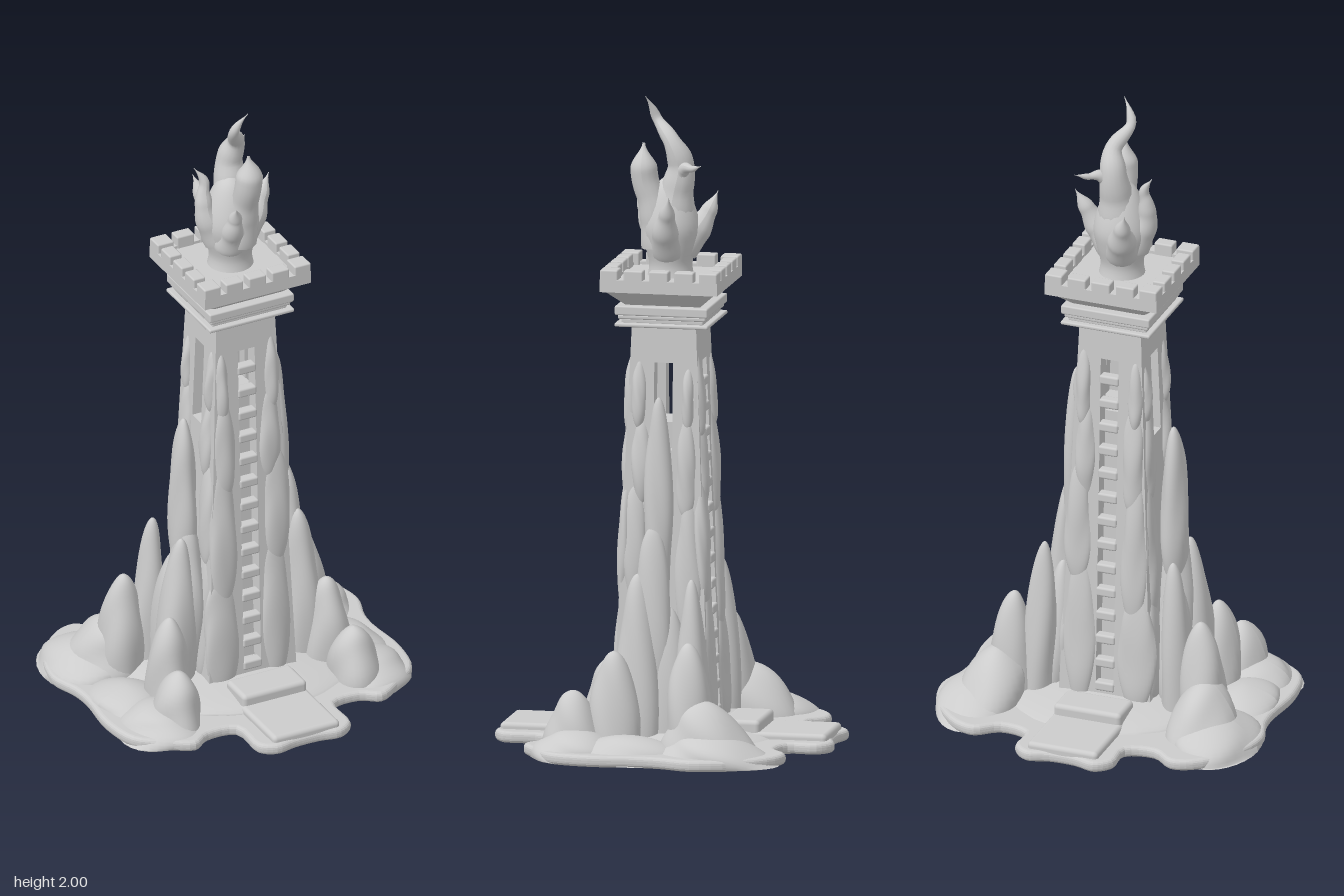
import * as THREE from 'three';
import { RoundedBoxGeometry } from 'three/addons/geometries/RoundedBoxGeometry.js';

const material = new THREE.MeshStandardMaterial({ color: 0xcccccc });
const V = (x, y, z) => new THREE.Vector3(x, y, z);

// Half width of the tapering shaft at height y
const half = (y) => 0.152 - 0.052 * (y / 1.31);

function add(parent, name, geometry, x = 0, y = 0, z = 0) {
  const mesh = new THREE.Mesh(geometry, material);
  mesh.name = name;
  mesh.position.set(x, y, z);
  parent.add(mesh);
  return mesh;
}

// Softly lumpy ellipsoid from y0 to y1, narrowing and leaning upwards, cut flat at the ground
function rock(parent, name, x, z, rx, rz, y0, y1, leanX = 0, leanZ = 0) {
  const g = new THREE.SphereGeometry(1, 32, 28);
  const p = g.attributes.position;
  const seed = x * 31 + z * 17 + y1 * 7;
  for (let i = 0; i < p.count; i++) {
    const a = V().fromBufferAttribute(p, i);
    const t = (a.y + 1) / 2;
    const lump = 1 + 0.07 * Math.sin(a.x * 3.1 + a.y * 2 + seed) + 0.06 * Math.sin(a.z * 4 - a.y * 5 + seed * 2);
    const r = lump * (1.08 - 0.22 * t);
    p.setXYZ(i, x + a.x * rx * r + leanX * t, Math.max(0.003, y0 + (y1 - y0) * t), z + a.z * rz * r + leanZ * t);
  }
  g.computeVertexNormals();
  return add(parent, name, g);
}

// Slab with a rounded rim, from half an outline (x >= 0, running back to front)
function slab(parent, name, points, y0, y1, bevel, smooth) {
  const all = [...points, ...points.slice().reverse().map(([x, z]) => [-x, z])];
  let pts = all.map(([x, z]) => V(x, z, 0));
  if (smooth) pts = new THREE.CatmullRomCurve3(pts, true, 'centripetal').getPoints(160).slice(0, -1);
  const shape = new THREE.Shape(pts.map((q) => new THREE.Vector2(q.x, q.y)));
  const g = new THREE.ExtrudeGeometry(shape, {
    depth: y1 - y0 - 2 * bevel, bevelThickness: bevel, bevelSize: bevel, bevelOffset: -bevel, bevelSegments: 4,
  });
  g.rotateX(Math.PI / 2);
  return add(parent, name, g, 0, y1 - bevel, 0);
}

// Shaft wall with one tall slot, sloping inwards with the taper
function wall(parent, name, slotBottom, angle) {
  const top = 1.31, w = 0.029;
  const rect = (x, y0, y1, xt, Type) => new Type([[-x, y0], [x, y0], [xt, y1], [-xt, y1]].map((q) => new THREE.Vector2(...q)));
  const shape = rect(half(0), 0, top, half(top), THREE.Shape);
  shape.holes.push(rect(w, slotBottom, 1.19, w, THREE.Path));
  const g = new THREE.ExtrudeGeometry(shape, { depth: 0.045, bevelEnabled: false });
  const p = g.attributes.position;
  for (let i = 0; i < p.count; i++) {
    // mitre the inner corners so neighbouring walls meet
    const inset = 0.045 - p.getZ(i), x = p.getX(i), y = p.getY(i);
    if (Math.abs(x) > w + 0.01) p.setX(i, x - Math.sign(x) * inset);
    p.setZ(i, half(y) - inset);
  }
  g.computeVertexNormals();
  add(parent, name, g).rotation.y = angle;
}

// Curved tongue of fire: a tube whose radius follows a list
function tongue(parent, name, points, radii) {
  const curve = new THREE.CatmullRomCurve3(points.map((q) => V(...q)));
  const rows = 36, sides = 16;
  const g = new THREE.TubeGeometry(curve, rows, 1, sides, false);
  const p = g.attributes.position;
  for (let i = 0; i <= rows; i++) {
    const c = curve.getPointAt(i / rows);
    const s = (i / rows) * (radii.length - 1), k = Math.min(Math.floor(s), radii.length - 2);
    const r = THREE.MathUtils.lerp(radii[k], radii[k + 1], THREE.MathUtils.smoothstep(s - k, 0, 1));
    for (let j = 0; j <= sides; j++) {
      const n = i * (sides + 1) + j;
      const v = V().fromBufferAttribute(p, n).sub(c).multiplyScalar(r).add(c);
      p.setXYZ(n, v.x, v.y, v.z);
    }
  }
  g.computeVertexNormals();
  add(parent, name, g);
}

function buildBase(parent) {
  const base = new THREE.Group();
  base.name = 'rockyBase';
  parent.add(base);
  slab(base, 'groundSkirt', [
    [0.04, -0.515], [0.11, -0.532], [0.16, -0.49], [0.165, -0.4], [0.25, -0.38], [0.32, -0.428], [0.39, -0.41],
    [0.49, -0.3], [0.527, -0.17], [0.5, -0.07], [0.495, 0], [0.508, 0.15], [0.48, 0.28], [0.4, 0.345],
    [0.32, 0.39], [0.26, 0.355], [0.17, 0.365], [0.16, 0.49], [0.11, 0.525], [0.04, 0.515],
  ], 0, 0.036, 0.014, true);
  rock(base, 'centralMound', 0, 0, 0.46, 0.36, -0.07, 0.085);
  for (const s of [1, -1]) {
    // stepped porches, front and back
    const porch = new RoundedBoxGeometry(0.23, 0.05, 0.3, 3, 0.014);
    add(base, 'porchStep', porch, 0, 0.031, s * 0.36);
    add(base, 'porchLanding', new RoundedBoxGeometry(0.22, 0.08, 0.12, 3, 0.014), 0, 0.05, s * 0.24);
    // corner boulders
    rock(base, 'backFoot', s * 0.385, -0.23, 0.135, 0.185, -0.09, 0.1, 0, 0.03);
    rock(base, 'backBoulder', s * 0.36, -0.22, 0.11, 0.15, -0.16, 0.19, -s * 0.02, 0.05);
    rock(base, 'backPeak', s * 0.32, -0.13, 0.075, 0.08, -0.2, 0.36, -s * 0.015, 0.01);
    rock(base, 'sideFoot', s * 0.38, 0.06, 0.12, 0.17, -0.07, 0.08);
    rock(base, 'frontFoot', s * 0.36, 0.22, 0.13, 0.15, -0.08, 0.09);
    rock(base, 'frontBoulder', s * 0.32, 0.23, 0.085, 0.1, -0.18, 0.2, -s * 0.02, 0.01);
    rock(base, 'frontPeak', s * 0.28, 0.11, 0.075, 0.08, -0.2, 0.32, -s * 0.01, 0.01);
    // spires climbing the sides
    rock(base, 'backSpire', s * 0.25, -0.12, 0.055, 0.055, -0.3, 0.54, -s * 0.04, 0.01);
    rock(base, 'middleSpire', s * 0.24, 0.05, 0.065, 0.07, -0.3, 0.55, -s * 0.04, 0.01);
    rock(base, 'shoulderRock', s * 0.2, -0.03, 0.06, 0.09, -0.2, 0.45, -s * 0.02, 0);
  }
  rock(base, 'leftLowSpire', 0.2, 0.015, 0.045, 0.065, 0.05, 0.7, -0.02, 0);
  rock(base, 'leftTallSpire', 0.15, 0.005, 0.04, 0.045, 0.4, 1.09, 0.0, 0);
  rock(base, 'rightLowSpire', -0.18, 0.03, 0.06, 0.08, 0.0, 0.6, 0.01, 0);
  rock(base, 'rightTallSpire', -0.175, 0.01, 0.045, 0.055, 0.36, 0.94, 0.01, 0);
}

function buildShaft(parent) {
  const shaft = new THREE.Group();
  shaft.name = 'shaft';
  parent.add(shaft);
  wall(shaft, 'frontWall', 0.09, 0);
  wall(shaft, 'backWall', 0.09, Math.PI);
  wall(shaft, 'leftWall', 0.92, Math.PI / 2);
  wall(shaft, 'rightWall', 0.92, -Math.PI / 2);
  add(shaft, 'innerCore', new THREE.BoxGeometry(0.14, 1.0, 0.14), 0, 0.5, 0);

  // rock plates on the faces beside the slots: offset, width, bottom, top
  const plates = [
    [0.085, 0.052, 0.02, 0.53], [-0.1, 0.062, 0.02, 0.43], [-0.09, 0.045, 0.3, 0.82], [0.095, 0.045, 0.42, 0.84],
    [0.075, 0.036, 0.72, 1.04], [-0.08, 0.038, 0.68, 1.05], [0.085, 0.026, 0.95, 1.22], [-0.085, 0.024, 0.95, 1.2],
  ];
  for (const s of [1, -1]) {
    for (const [u, w, y0, y1] of plates) {
      const foot = half(y0) - 0.008, lean = half(y1) - half(y0);
      rock(shaft, 'rockPlate', u, s * foot, w, 0.026, y0, y1, 0, s * lean);
      // matching plates on the sides, hugging the corners
      rock(shaft, 'sidePlate', s * foot, u * 0.9, 0.026, w * 0.9, y0 + 0.03, y1 - 0.02, s * lean, 0);
    }
    // ladder rungs in the slot
    for (let i = 0; i < 14; i++) {
      const y = 0.1 + i * 0.0785;
      add(shaft, 'rung', new RoundedBoxGeometry(0.064, 0.03, 0.034, 2, 0.007), 0, y, s * (half(y) - 0.012));
    }
  }
}

function buildTop(parent) {
  const top = new THREE.Group();
  top.name = 'battlement';
  parent.add(top);
  // stacked cornice: half width, bottom, top
  for (const [h, y0, y1] of [[0.146, 1.303, 1.315], [0.128, 1.312, 1.328], [0.137, 1.326, 1.34], [0.145, 1.339, 1.368]]) {
    add(top, 'cornice', new RoundedBoxGeometry(2 * h, y1 - y0, 2 * h, 2, 0.005), 0, (y0 + y1) / 2, 0);
  }
  // flared bracket under the platform
  const flare = new THREE.CylinderGeometry(0.172 * Math.SQRT2, 0.112 * Math.SQRT2, 0.054, 4, 1).toNonIndexed();
  flare.rotateY(Math.PI / 4);
  flare.computeVertexNormals();
  add(top, 'flare', flare, 0, 1.391, 0);
  add(top, 'platform', new THREE.BoxGeometry(0.366, 0.03, 0.366), 0, 1.431, 0);
  // merlons round the rim, with a low sill between them
  for (let k = 0; k < 4; k++) {
    const side = new THREE.Group();
    side.name = 'parapetSide';
    side.rotation.y = (k * Math.PI) / 2;
    top.add(side);
    add(side, 'sill', new THREE.BoxGeometry(0.366, 0.012, 0.04), 0, 1.449, 0.163);
    for (const x of [-0.079, 0, 0.079]) {
      add(side, 'merlon', new RoundedBoxGeometry(0.06, 0.052, 0.042, 2, 0.005), x, 1.459, 0.162);
    }
    add(side, 'cornerMerlon', new RoundedBoxGeometry(0.056, 0.052, 0.056, 2, 0.005), 0.155, 1.459, 0.155);
  }
}

function buildFlame(parent) {
  const flame = new THREE.Group();
  flame.name = 'flame';
  parent.add(flame);
  const profile = new THREE.SplineCurve([[0.075, 1.43], [0.066, 1.48], [0.08, 1.54], [0.088, 1.6], [0.07, 1.67], [0.04, 1.73], [0, 1.76]]
    .map((q) => new THREE.Vector2(...q)));
  add(flame, 'flameBody', new THREE.LatheGeometry(profile.getPoints(28), 32));
  tongue(flame, 'mainTongue', [[0, 1.56, 0], [0.01, 1.7, -0.02], [0.015, 1.79, -0.035], [0.025, 1.86, -0.01],
    [-0.012, 1.925, 0.045], [0, 1.965, 0.06], [0.022, 2.0, 0.075]], [0.07, 0.065, 0.05, 0.04, 0.025, 0.015, 0.001]);
  tongue(flame, 'frontTongue', [[0.01, 1.54, 0.03], [0.02, 1.66, 0.05], [0.022, 1.74, 0.075], [0.025, 1.8, 0.08], [0.02, 1.856, 0.08]],
    [0.06, 0.05, 0.042, 0.042, 0.004]);
  tongue(flame, 'rightTongue', [[-0.04, 1.54, 0], [-0.082, 1.63, -0.005], [-0.085, 1.7, -0.015], [-0.08, 1.74, -0.02], [-0.11, 1.79, -0.03]],
    [0.05, 0.04, 0.028, 0.016, 0.001]);
  tongue(flame, 'leftTongue', [[0.03, 1.53, 0], [0.08, 1.59, 0], [0.108, 1.64, -0.01], [0.145, 1.71, -0.025]], [0.055, 0.042, 0.025, 0.001]);
  tongue(flame, 'backTongue', [[-0.01, 1.53, -0.03], [-0.03, 1.59, -0.08], [-0.04, 1.63, -0.105], [-0.06, 1.7, -0.135]],
    [0.055, 0.045, 0.026, 0.001]);
  tongue(flame, 'smallFrontTongue', [[-0.02, 1.54, 0.03], [-0.03, 1.61, 0.078], [-0.03, 1.65, 0.09], [-0.04, 1.7, 0.12]],
    [0.055, 0.035, 0.022, 0.001]);
  tongue(flame, 'thinSpike', [[0.02, 1.74, -0.03], [0.05, 1.785, -0.055], [0.08, 1.79, -0.085], [0.11, 1.805, -0.118]],
    [0.03, 0.02, 0.01, 0.001]);
}

export function createModel() {
  const model = new THREE.Group();
  model.name = 'beaconTower';
  buildBase(model);
  buildShaft(model);
  buildTop(model);
  buildFlame(model);
  return model;
}
